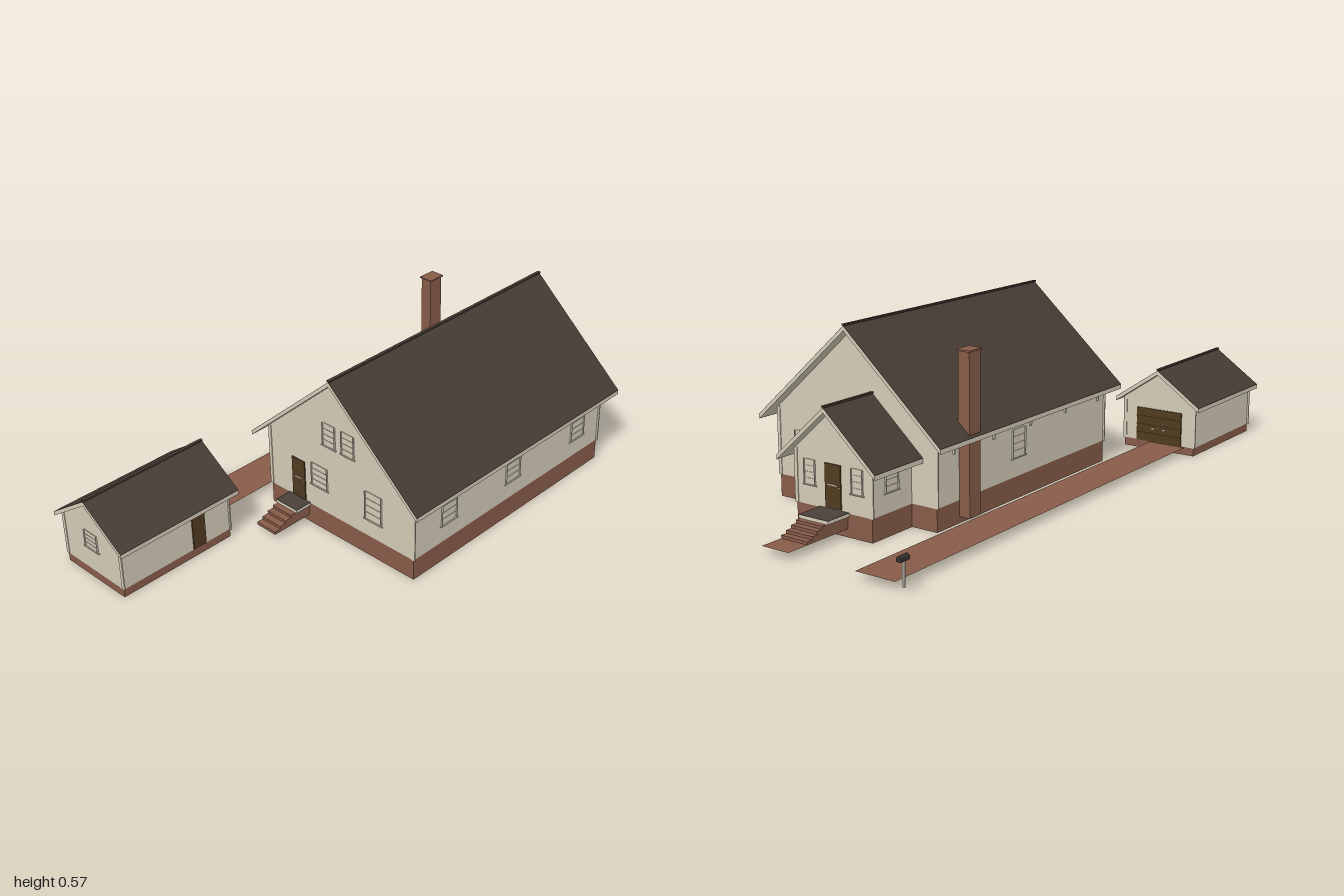
import * as THREE from 'three';

const mat = (name, color) => Object.assign(new THREE.MeshStandardMaterial({ color }), { name });
const M = {
  siding: mat('siding', 0xd4ccb8),
  brick: mat('brick', 0x885c49),
  roof: mat('roofShingle', 0x473b34),
  door: mat('doorWood', 0x503b20),
  concrete: mat('concrete', 0xc6c5bc),
  landing: mat('landingStone', 0x4a403a),
  metal: mat('darkMetal', 0x35332f),
};
M.brick.side = THREE.DoubleSide; // the paving is a thin sheet

// Box given by its min and max on each axis
function box(parent, name, m, x0, x1, y0, y1, z0, z1) {
  const mesh = new THREE.Mesh(new THREE.BoxGeometry(x1 - x0, y1 - y0, z1 - z0), m);
  mesh.position.set((x0 + x1) / 2, (y0 + y1) / 2, (z0 + z1) / 2);
  mesh.name = name;
  parent.add(mesh);
}

// Flat strip of brick paving at ground level
function paving(parent, name, x0, x1, z0, z1) {
  const mesh = new THREE.Mesh(new THREE.PlaneGeometry(x1 - x0, z1 - z0), M.brick);
  mesh.rotation.x = -Math.PI / 2;
  mesh.position.set((x0 + x1) / 2, 0.025, (z0 + z1) / 2);
  mesh.name = name;
  parent.add(mesh);
}

// Outline in x/y pushed along z
function prism(parent, name, m, pts, z0, z1) {
  const shape = new THREE.Shape(pts.map(p => new THREE.Vector2(p[0], p[1])));
  const mesh = new THREE.Mesh(
    new THREE.ExtrudeGeometry(shape, { depth: z1 - z0, bevelEnabled: false }), m);
  mesh.position.z = z0;
  mesh.name = name;
  parent.add(mesh);
}

// Gabled building: hollow brick base with a raised floor, siding, corner boards, roof
function building(name, o) {
  const g = new THREE.Group();
  g.name = name;
  const { cx, w, base, floor, ridge, slope, half, z0, z1, rz0, rz1 } = o;
  const t = 0.015, skin = 0.001, thick = 0.006;
  for (const s of [-1, 1]) {
    const x = cx + s * (w - thick / 2), z = s > 0 ? z1 - thick / 2 : z0 + thick / 2;
    box(g, 'foundationSide', M.brick, x - thick / 2, x + thick / 2, 0, base, z0, z1);
    box(g, 'foundationEnd', M.brick, cx - w + thick, cx + w - thick, 0, base, z - thick / 2, z + thick / 2);
  }
  box(g, 'floorSlab', M.concrete, cx - w + thick, cx + w - thick, floor, base, z0 + thick, z1 - thick);
  const top = ridge - t, eave = top - slope * w;
  prism(g, 'walls', M.siding,
    [[cx - w, base], [cx + w, base], [cx + w, eave], [cx, top], [cx - w, eave]], z0, z1);
  for (const s of [-1, 1]) for (const z of [z0, z1]) {
    const x = cx + s * w;
    box(g, 'cornerBoard', M.siding, x - 0.006, x + 0.006, base, eave, z - 0.002, z + 0.002);
  }
  const layer = (label, m, upper, lower) => prism(g, label, m, [
    [cx - half, upper - slope * half], [cx - half, lower - slope * half], [cx, lower],
    [cx + half, lower - slope * half], [cx + half, upper - slope * half], [cx, upper]], rz0, rz1);
  layer('soffitAndBargeboards', M.siding, ridge - skin, ridge - t);
  layer('shingles', M.roof, ridge, ridge - skin);
  box(g, 'ridgeCap', M.roof, cx - 0.005, cx + 0.005, ridge, ridge + 0.005, rz0, rz1);
  return g;
}

// Group placed on a wall; angle 0 faces +z
function onWall(parent, name, x, y, z, angle) {
  const g = new THREE.Group();
  g.name = name;
  g.position.set(x, y, z);
  g.rotation.y = angle;
  parent.add(g);
  return g;
}

// Window with its origin at the middle of the sill
function addWindow(parent, x, y, z, angle, w = 0.05, h = 0.08) {
  const g = onWall(parent, 'window', x, y, z, angle), r = w / 2;
  box(g, 'pane', M.siding, -r, r, 0, h, 0, 0.001);
  for (const s of [-1, 1])
    box(g, 'sideTrim', M.siding, s * r - 0.0012, s * r + 0.0012, 0, h, 0, 0.005);
  box(g, 'sill', M.siding, -r - 0.006, r + 0.006, -0.002, 0.001, 0, 0.005);
  for (const k of [0.25, 0.5, 0.75, 1])
    box(g, 'glazingBar', M.siding, -r, r, h * k - 0.001, h * k + 0.001, 0, 0.0025);
}

function addDoor(parent, x, y, z, angle, w, h, slot) {
  const g = onWall(parent, 'door', x, y, z, angle), r = w / 2;
  box(g, 'doorLeaf', M.door, -r, r, 0, h, 0, 0.004);
  if (slot) box(g, 'letterSlot', M.siding, -r * 0.6, r * 0.6, h * 0.52, h * 0.545, 0.004, 0.006);
  box(g, 'doorKnob', M.siding, r * 0.75, r * 0.95, h * 0.47, h * 0.5, 0.004, 0.008);
}

// Stoop and steps running out along local +z
function addSteps(parent, x, z, angle, w, landing, run, count) {
  const g = onWall(parent, 'steps', x, 0, z, angle), r = w / 2, yTop = 0.073, yGround = 0.025;
  box(g, 'landingEdge', M.siding, -r - 0.006, r + 0.006, 0.062, yTop - 0.001, 0, landing);
  box(g, 'landingTop', M.landing, -r - 0.006, r + 0.006, yTop - 0.001, yTop, 0, landing);
  box(g, 'landingBase', M.brick, -r, r, yGround, 0.062, 0, landing - 0.003);
  const rise = (0.062 - yGround) / count;
  for (let i = 0; i < count; i++)
    box(g, 'step', M.brick, -r, r, yGround, 0.062 - i * rise,
      landing - 0.003 + i * run / count, landing - 0.003 + (i + 1) * run / count);
}

export function createModel() {
  const root = new THREE.Group();
  root.name = 'homestead';

  // Main house
  const house = building('house', { cx: 0.1, w: 0.301, base: 0.07, floor: 0.05, ridge: 0.57,
    slope: 0.895, half: 0.345, z0: -0.545, z1: 0.355, rz0: -0.585, rz1: 0.392 });
  root.add(house);
  addDoor(house, -0.0755, 0.076, 0.355, 0, 0.055, 0.138, true);
  addWindow(house, 0.015, 0.15, 0.355, 0, 0.066, 0.078);
  addWindow(house, 0.24, 0.13, 0.355, 0, 0.066, 0.098);
  for (const x of [0.06, 0.138]) addWindow(house, x, 0.315, 0.355, 0, 0.05, 0.078);
  for (const x of [0.25, 0.31]) addWindow(house, x, 0.13, -0.545, Math.PI, 0.05, 0.09);
  for (const z of [0.2, -0.1, -0.43]) addWindow(house, 0.401, 0.13, z, Math.PI / 2, 0.066, 0.09);
  addWindow(house, -0.201, 0.13, -0.14, -Math.PI / 2, 0.066, 0.09);

  // Eave brackets on both long sides
  for (const s of [-1, 1]) for (let i = 0; i < 5; i++) {
    const b = onWall(house, 'eaveBracket', 0.1 + s * 0.301, 0, 0.312 - i * 0.195, s * Math.PI / 2);
    box(b, 'bracketArm', M.siding, -0.003, 0.003, 0.248, 0.254, 0, 0.034);
    box(b, 'bracketLeg', M.siding, -0.003, 0.003, 0.215, 0.25, 0, 0.006);
  }

  // Chimney on the outer wall
  box(root, 'chimney', M.brick, -0.238, -0.198, 0.02, 0.509, -0.44, -0.387);
  box(root, 'chimneyCap', M.brick, -0.242, -0.194, 0.509, 0.514, -0.444, -0.383);

  // Rear entry
  const entry = building('rearEntry', { cx: 0.03, w: 0.14, base: 0.07, floor: 0.05, ridge: 0.375,
    slope: 0.895, half: 0.182, z0: -0.72, z1: -0.54, rz0: -0.756, rz1: -0.545 });
  root.add(entry);
  addDoor(entry, 0.03, 0.076, -0.72, Math.PI, 0.058, 0.13, true);
  for (const s of [-1, 1]) {
    addWindow(entry, 0.03 + s * 0.088, 0.13, -0.72, Math.PI, 0.04, 0.075);
    addWindow(entry, 0.03 + s * 0.14, 0.13, -0.635, s * Math.PI / 2, 0.055, 0.075);
  }

  // Steps and paving
  addSteps(root, -0.076, 0.355, 0, 0.08, 0.06, 0.09, 4);
  addSteps(root, 0.028, -0.72, Math.PI, 0.097, 0.09, 0.08, 4);
  paving(root, 'rearPath', -0.0205, 0.0765, -0.963, -0.887);
  paving(root, 'driveway', -0.388, -0.255, -0.963, 0.575);

  // Garage
  const garage = building('garage', { cx: -0.29, w: 0.132, base: 0.027, floor: 0.018, ridge: 0.282,
    slope: 0.69, half: 0.158, z0: 0.577, z1: 0.985, rz0: 0.555, rz1: 1 });
  root.add(garage);
  addWindow(garage, -0.293, 0.105, 0.985, 0, 0.058, 0.058);
  addDoor(garage, -0.158, 0.03, 0.698, Math.PI / 2, 0.048, 0.13, false);

  // Garage door facing the driveway
  const gd = onWall(garage, 'garageDoor', -0.29, 0.027, 0.577, Math.PI);
  box(gd, 'garageDoorLeaf', M.door, -0.085, 0.085, 0, 0.115, 0, 0.004);
  for (const y of [0.028, 0.057, 0.086])
    box(gd, 'panelRail', M.door, -0.085, 0.085, y - 0.0015, y + 0.0015, 0.004, 0.006);
  for (const s of [-1, 1])
    box(gd, 'doorHandle', M.siding, s * 0.02 - 0.005, s * 0.02 + 0.005, 0.045, 0.049, 0.004, 0.008);

  // Mailbox
  const mail = new THREE.Group();
  mail.name = 'mailbox';
  box(mail, 'mailboxPost', M.concrete, -0.434, -0.428, 0.025, 0.098, -0.983, -0.977);
  box(mail, 'mailboxBody', M.metal, -0.439, -0.423, 0.097, 0.106, -1, -0.965);
  const lid = new THREE.Mesh(new THREE.CylinderGeometry(0.008, 0.008, 0.035, 12), M.metal);
  lid.rotation.x = Math.PI / 2;
  lid.position.set(-0.431, 0.105, -0.9825);
  lid.name = 'mailboxLid';
  mail.add(lid);
  root.add(mail);

  return root;
}
